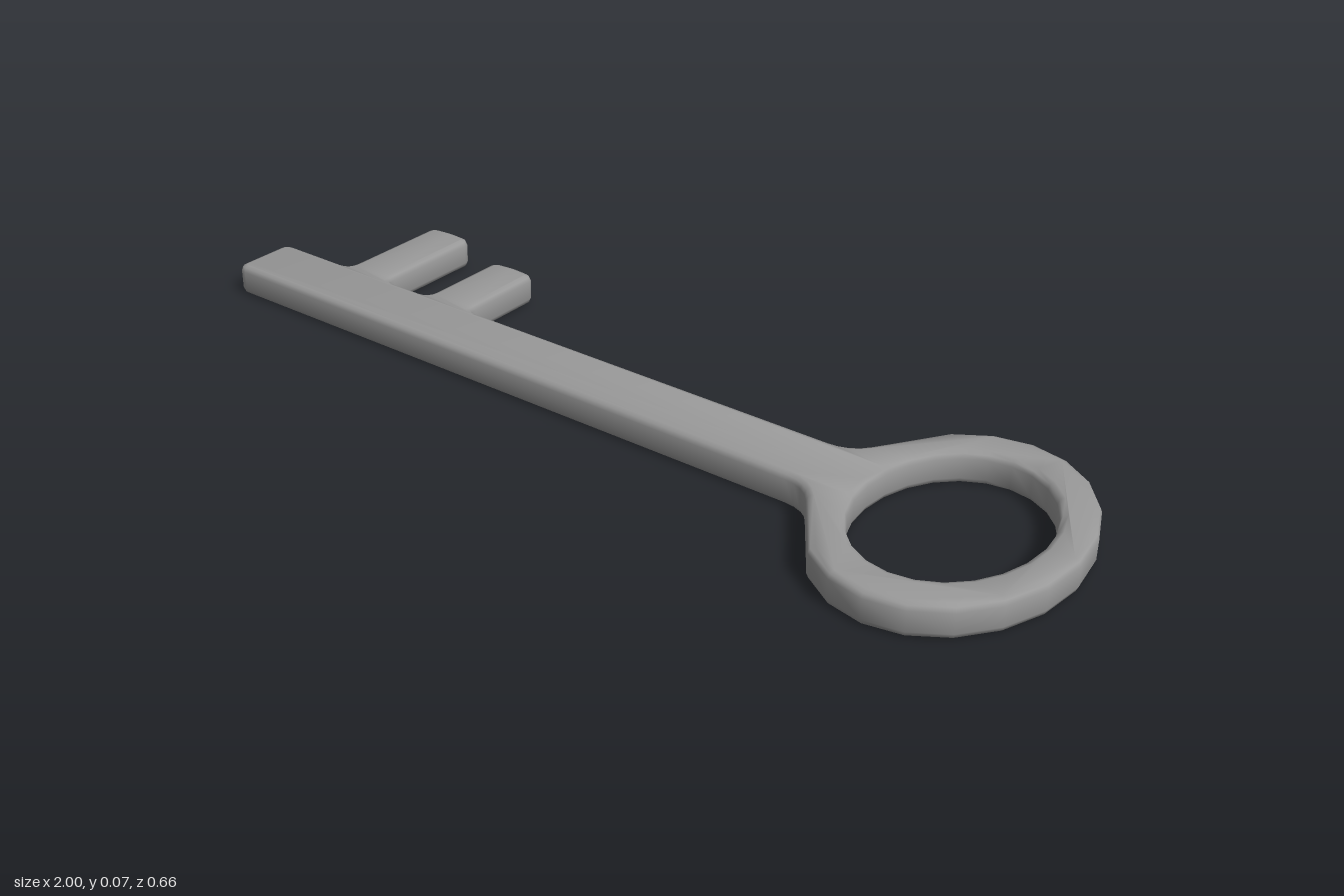
import * as THREE from 'three';
import { toCreasedNormals } from 'three/addons/utils/BufferGeometryUtils.js';

const THICKNESS = 0.067;
const BEVEL = 0.013;
const BACK = 0.051; // shaft edge carrying the teeth
const FRONT = -0.097; // plain shaft edge
const BOW = { x: 0.759, y: -0.026, rx: 0.241, ry: 0.305, holeX: 0.172, holeY: 0.22 };

// Point on an ellipse around the bow centre
function bowPoint(degrees, rx, ry) {
  const a = THREE.MathUtils.degToRad(degrees);
  return [BOW.x + rx * Math.cos(a), BOW.y + ry * Math.sin(a)];
}

// Closed outline from [x, y, cornerRadius] points; corners without a radius stay sharp
function roundedOutline(points) {
  const shape = new THREE.Shape();
  const n = points.length;
  const toward = (a, b, r) => {
    const d = Math.hypot(b[0] - a[0], b[1] - a[1]);
    return [a[0] + ((b[0] - a[0]) * r) / d, a[1] + ((b[1] - a[1]) * r) / d];
  };
  points.forEach((p, i) => {
    const r = p[2] || 0;
    const start = toward(p, points[(i + n - 1) % n], r);
    if (i === 0) shape.moveTo(...start);
    else shape.lineTo(...start);
    if (r) shape.quadraticCurveTo(p[0], p[1], ...toward(p, points[(i + 1) % n], r));
  });
  shape.closePath();
  return shape;
}

// Tooth of the bit, with a slightly domed tip, rising from the back edge of the shaft
function tooth(x0, x1, tip) {
  return [
    [x0, BACK, 0.026], [x0, tip - 0.006, 0.018], [(x0 + x1) / 2, tip, 0.02],
    [x1, tip - 0.006, 0.018], [x1, BACK, 0.026],
  ];
}

export function createModel() {
  const group = new THREE.Group();
  group.name = 'key';

  // Shaft end, two teeth and the flare into the bow
  const points = [
    [-1, FRONT, 0.022], [-1, BACK, 0.022],
    ...tooth(-0.8, -0.686, 0.331),
    ...tooth(-0.56, -0.446, 0.274),
    [0.5, BACK, 0.045],
  ];
  // Faceted outer rim of the bow, clockwise from flare to flare
  for (let a = 126; a >= -126; a -= 18) points.push(bowPoint(a, BOW.rx, BOW.ry));
  points.push([0.5, FRONT, 0.045]);
  const outline = roundedOutline(points);

  // Oval opening of the bow
  const hole = [];
  for (let a = 0; a < 360; a += 15) {
    hole.push(new THREE.Vector2(...bowPoint(a, BOW.holeX, BOW.holeY)));
  }
  outline.holes.push(new THREE.Path(hole));

  // Flat body with softened edges, laid on the ground
  const geometry = new THREE.ExtrudeGeometry(outline, {
    depth: THICKNESS - 2 * BEVEL,
    bevelEnabled: true,
    bevelThickness: BEVEL,
    bevelSize: BEVEL,
    bevelOffset: -BEVEL,
    bevelSegments: 2,
    curveSegments: 4,
  });
  geometry.translate(0, 0, BEVEL);
  geometry.rotateX(-Math.PI / 2);

  // Dark grey metal, shaded softly across the edges
  const body = new THREE.Mesh(
    toCreasedNormals(geometry, 1.2),
    new THREE.MeshStandardMaterial({ color: 0x999999 })
  );
  body.name = 'keyBody';
  group.add(body);
  return group;
}
